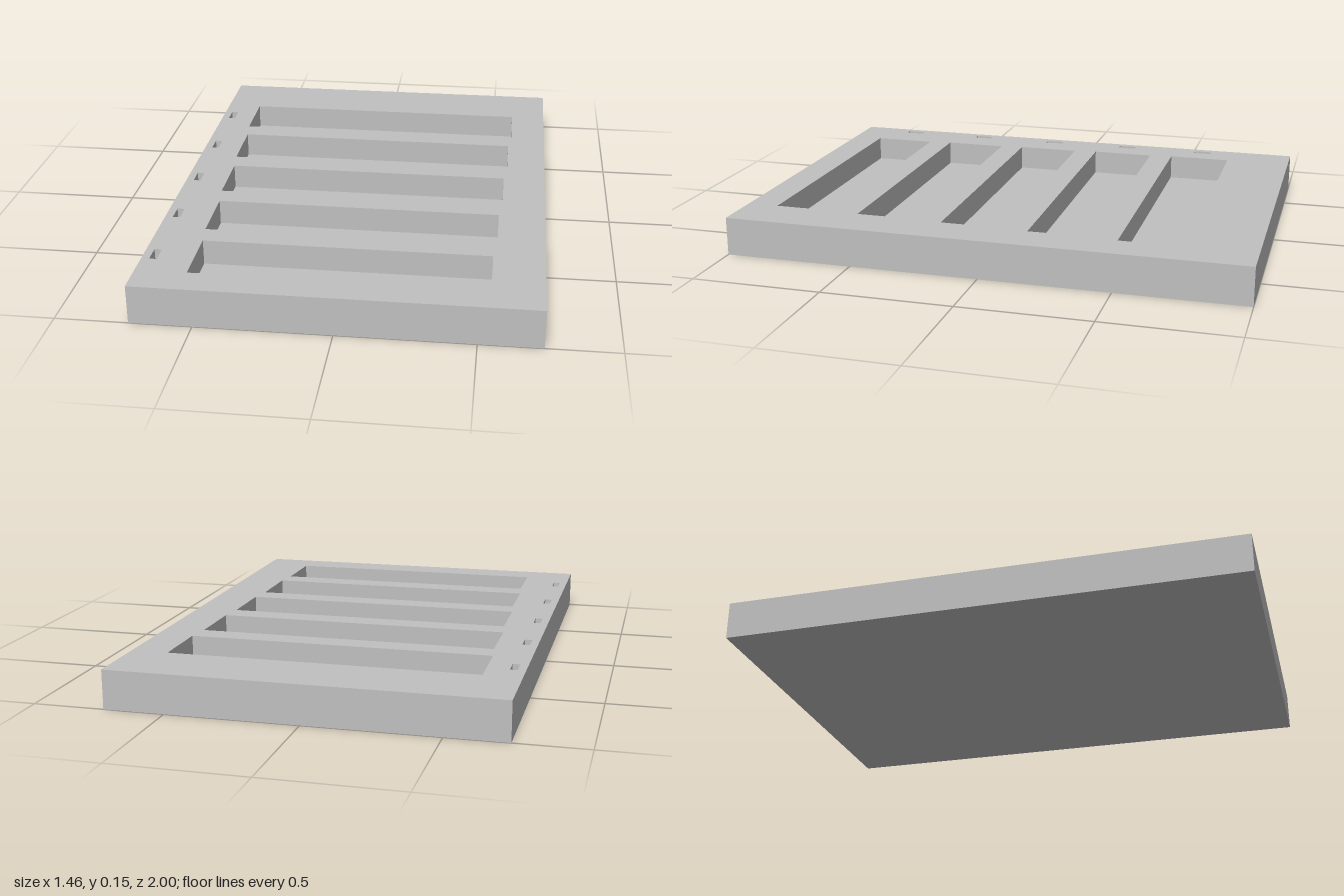
import * as THREE from 'three';

const WIDTH = 1.46, HEIGHT = 0.148, LENGTH = 2;
const POCKET_DEPTH = 0.097, SLOT_DEPTH = 0.097;

// Box without its top face; inward turns the faces to line a recess.
function openBox(w, h, d, inward = false) {
  const geo = new THREE.BoxGeometry(w, h, d);
  const index = Array.from(geo.index.array);
  index.splice(12, 6);
  geo.clearGroups();
  if (inward) {
    index.reverse();
    const n = geo.attributes.normal;
    for (let i = 0; i < n.count; i++) n.setXYZ(i, -n.getX(i), -n.getY(i), -n.getZ(i));
  }
  geo.setIndex(index);
  return geo;
}

// Rectangle outline centred on (x, y)
function rectangle(path, x, y, w, h) {
  path.moveTo(x - w / 2, y - h / 2);
  path.lineTo(x + w / 2, y - h / 2);
  path.lineTo(x + w / 2, y + h / 2);
  path.lineTo(x - w / 2, y + h / 2);
  path.closePath();
  return path;
}

export function createModel() {
  const group = new THREE.Group();
  group.name = 'slottedTray';
  const grey = new THREE.MeshStandardMaterial({ color: 0xc0c0c0 });
  grey.name = 'grey';

  const add = (name, geo, x, y, z) => {
    const mesh = new THREE.Mesh(geo, grey);
    mesh.name = name;
    mesh.position.set(x, y, z);
    group.add(mesh);
  };

  // Outer sides and underside
  add('trayBody', openBox(WIDTH, HEIGHT, LENGTH), 0, HEIGHT / 2, 0);

  const top = rectangle(new THREE.Shape(), 0, 0, WIDTH, LENGTH);
  const recess = (name, x, z, w, d, depth) => {
    top.holes.push(rectangle(new THREE.Path(), x, -z, w, d));
    add(name, openBox(w, depth, d, true), x, HEIGHT - depth / 2, z);
  };

  // Five pockets, narrowing towards the front, each with a small slot beside it
  for (let i = 0; i < 5; i++) {
    const z = -0.614 + i * 0.342;
    recess('pocket' + (i + 1), 0, z, 2 * (0.588 - i * 0.0122), 0.248, POCKET_DEPTH);
    recess('labelSlot' + (i + 1), -0.686, z, 0.028, 0.074, SLOT_DEPTH);
  }

  // Top surface with the recess openings cut out
  add('trayTop', new THREE.ShapeGeometry(top).rotateX(-Math.PI / 2), 0, HEIGHT, 0);
  return group;
}
